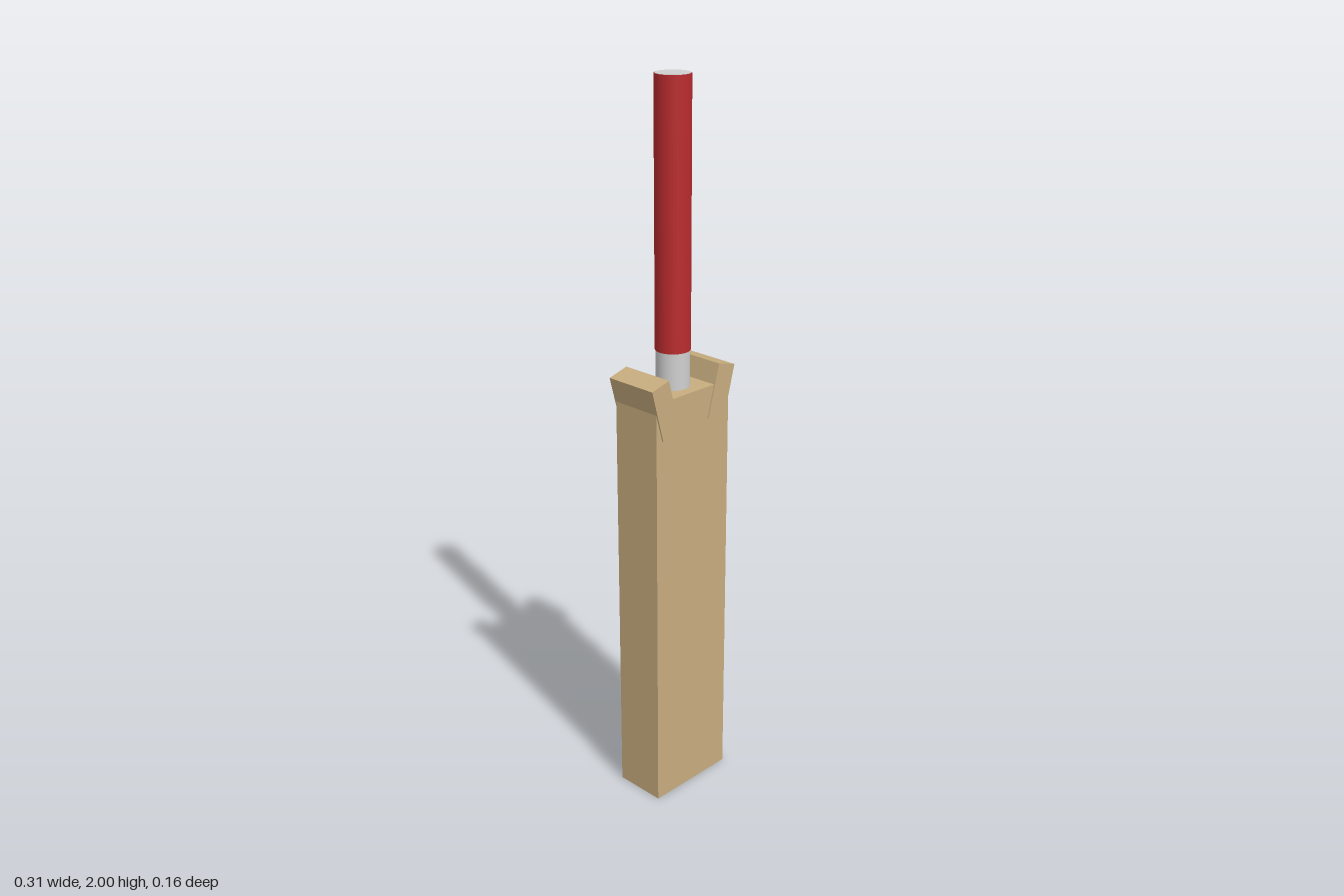
import * as THREE from 'three';

export function createModel() {
  const wood = new THREE.MeshStandardMaterial({ name: 'wood', color: 0xc8ad7f });
  const red = new THREE.MeshStandardMaterial({ name: 'red grip', color: 0xb92b2e });
  const grey = new THREE.MeshStandardMaterial({ name: 'grey core', color: 0xd0d0d0 });

  const model = new THREE.Group();
  model.name = 'bat';

  function add(name, geometry, material, x, y, z = 0) {
    const mesh = new THREE.Mesh(geometry, material);
    mesh.name = name;
    mesh.position.set(x, y, z);
    model.add(mesh);
    return mesh;
  }

  // Upright cylinder between two heights
  function rod(name, material, radius, bottom, top) {
    add(name, new THREE.CylinderGeometry(radius, radius, top - bottom, 32), material, 0, (bottom + top) / 2);
  }

  // Blade
  add('blade', new THREE.BoxGeometry(0.27, 1.2, 0.148), wood, 0, 0.6);

  // Shoulders leaning outwards, slightly deeper than the blade
  for (const side of [1, -1]) {
    const name = side > 0 ? 'leftShoulder' : 'rightShoulder';
    const shoulder = add(name, new THREE.BoxGeometry(0.062, 0.15, 0.156), wood, side * 0.104, 1.175);
    shoulder.rotation.z = -side * THREE.MathUtils.degToRad(15);
  }

  // Handle core, its end showing just above the red grip
  rod('handleCore', grey, 0.045, 1.1, 2);
  rod('grip', red, 0.047, 1.3, 1.999);

  return model;
}
